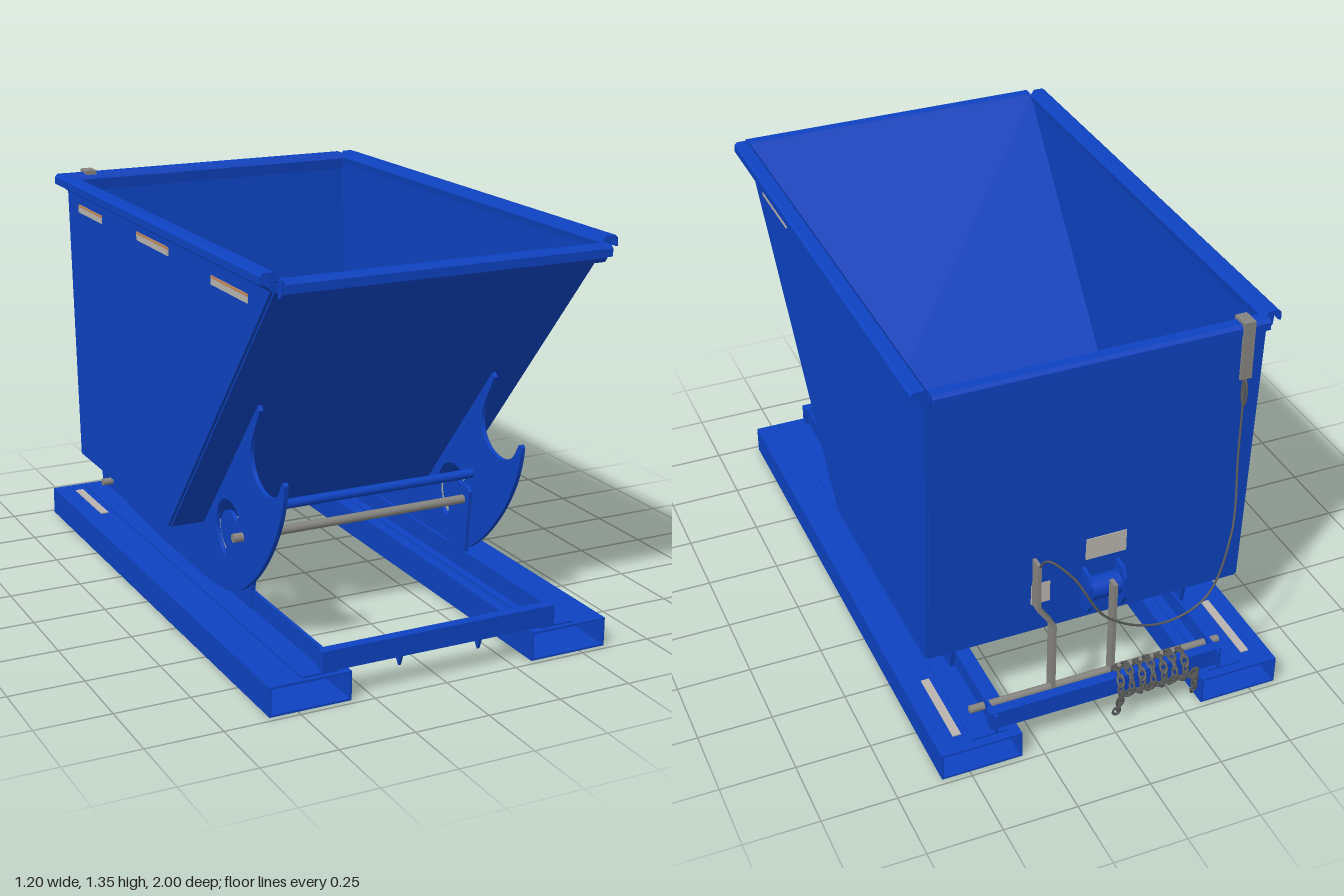
import * as THREE from 'three';

const mat = (name, color, double) => {
  const m = new THREE.MeshStandardMaterial({ color });
  m.name = name;
  if (double) m.side = THREE.DoubleSide;
  return m;
};

export function createModel() {
  const model = new THREE.Group();
  model.name = 'tippingHopper';
  const blue = mat('blue paint', 0x0d42c0, true);
  const steel = mat('grey steel', 0x85847f);
  const dark = mat('dark chain steel', 0x595a5a);
  const label = mat('pale label', 0xb9b4ae);
  const tan = mat('tan label edge', 0xc08a5c);

  const add = (name, geo, material, parent = model) => {
    const m = new THREE.Mesh(geo, material);
    m.name = name;
    parent.add(m);
    return m;
  };
  // box given by its limits on each axis
  const box = (name, x0, x1, y0, y1, z0, z1, material) => {
    const m = add(name, new THREE.BoxGeometry(x1 - x0, y1 - y0, z1 - z0), material);
    m.position.set((x0 + x1) / 2, (y0 + y1) / 2, (z0 + z1) / 2);
    return m;
  };
  // rod lying along x
  const rod = (name, x0, x1, y, z, r, material) => {
    const m = add(name, new THREE.CylinderGeometry(r, r, x1 - x0, 16), material);
    m.rotation.z = Math.PI / 2;
    m.position.set((x0 + x1) / 2, y, z);
    return m;
  };
  const shapeOf = (pts) => new THREE.Shape(pts.map((p) => new THREE.Vector2(...p)));
  const extrude = (shape, depth) => {
    const g = new THREE.ExtrudeGeometry(shape, { depth, bevelEnabled: false, curveSegments: 16 });
    return g.translate(0, 0, -depth / 2);
  };
  // plate drawn in (z, y), thick along x
  const sidePlate = (name, shape, depth, x, material = blue) => {
    const m = add(name, extrude(shape, depth).rotateY(-Math.PI / 2), material);
    m.position.x = x;
    return m;
  };
  // full-width sheet between two (z, y) points
  const sheet = (name, [z0, y0], [z1, y1], w, t) => {
    const m = add(name, new THREE.BoxGeometry(w, t, Math.hypot(z1 - z0, y1 - y0)), blue);
    m.position.set(0, (y0 + y1) / 2, (z0 + z1) / 2);
    m.rotation.x = -Math.atan2(y1 - y0, z1 - z0);
  };

  // hopper bin
  const bin = [[0.95, 1.32], [0.1, 0.305], [-0.75, 0.305], [-0.8, 1.32]];
  for (const s of [-1, 1]) sidePlate('binSide', shapeOf(bin), 0.012, s * 0.549);
  sheet('binSlope', bin[0], bin[1], 1.09, 0.012);
  sheet('binFloor', bin[1], bin[2], 1.09, 0.012);
  sheet('binBack', bin[2], bin[3], 1.09, 0.012);

  // rolled rim on all four edges
  const lip = [[0.54, 1.325], [0.555, 1.345], [0.59, 1.345], [0.6, 1.335], [0.6, 1.31], [0.592, 1.31],
    [0.592, 1.333], [0.585, 1.337], [0.575, 1.333], [0.572, 1.3], [0.56, 1.285], [0.545, 1.285]];
  for (const s of [-1, 1]) {
    const m = add('sideRim', extrude(shapeOf(lip.map(([x, y]) => [s * x, y])), 1.75), blue);
    m.position.z = 0.07;
  }
  sidePlate('frontRim', shapeOf(lip.map(([x, y]) => [x + 0.4, y - 0.017])), 1.09, 0);
  sidePlate('backRim', shapeOf(lip.map(([x, y]) => [-(x + 0.24), y - 0.005])), 1.09, 0);

  // rocker plates with a hooked nose and a curved slot
  const rocker = new THREE.Shape();
  rocker.moveTo(-0.67, 0.305);
  rocker.lineTo(-0.63, 0.13);
  rocker.lineTo(-0.2, 0.107);
  rocker.lineTo(0.15, 0.107);
  rocker.splineThru([[0.3, 0.125], [0.41, 0.17], [0.52, 0.25], [0.62, 0.36], [0.69, 0.47], [0.725, 0.56], [0.737, 0.625]]
    .map((p) => new THREE.Vector2(...p)));
  rocker.splineThru([[0.72, 0.63], [0.68, 0.575], [0.61, 0.552], [0.535, 0.572], [0.49, 0.63], [0.498, 0.7], [0.56, 0.815]]
    .map((p) => new THREE.Vector2(...p)));
  rocker.lineTo(0.545, 0.83);
  rocker.lineTo(0.1, 0.305);
  const slot = new THREE.Path();
  const cz = 0.315, cy = 0.34;
  slot.absarc(cz, cy, 0.105, 0.75, 4.35, false);
  slot.absarc(cz, cy, 0.068, 4.35, 0.75, true);
  rocker.holes.push(slot);

  for (const s of [-1, 1]) {
    sidePlate('rocker', rocker, 0.014, s * 0.42);
    // axle bracket on the base
    sidePlate('axleBracket', shapeOf([[0.31, 0.1], [0.43, 0.1], [0.46, 0.39], [0.44, 0.405], [0.4, 0.405], [0.385, 0.39]]), 0.014, s * 0.397);

    // hollow fork pocket
    const pocket = shapeOf([[-0.137, 0.003], [0.137, 0.003], [0.137, 0.1], [-0.137, 0.1]]);
    pocket.holes.push(new THREE.Path([[-0.13, 0.01], [-0.13, 0.093], [0.13, 0.093], [0.13, 0.01]]
      .map((p) => new THREE.Vector2(...p))));
    add('forkPocket', extrude(pocket, 1.96), blue).position.x = s * 0.457;

    // angle rail under the rocker
    const rx = s * 0.395;
    box('railWeb', rx - 0.005, rx + 0.005, 0.1, 0.17, -0.95, 0.965, blue);
    const fx = s * 0.42;
    box('railFoot', fx - 0.06, fx + 0.06, 0.099, 0.106, -0.95, 0.965, blue);

    // labels on the pocket top and bin side
    const lx = s * 0.515;
    box('pocketLabel', lx - 0.014, lx + 0.014, 0.099, 0.104, -0.91, -0.63, label);
    const bx = s * 0.556;
    const spots = [[0.5, 0.765, 1.215], [-0.115, 0.155, 1.233]];
    if (s < 0) spots.push([-0.68, -0.45, 1.225]);
    for (const [z0, z1, y] of spots) {
      box('sideLabel', bx - 0.003, bx + 0.003, y, y + 0.02, z0, z1, label);
      box('sideLabelEdge', bx - 0.003, bx + 0.003, y + 0.02, y + 0.028, z0, z1, tan);
    }
    // tab below the front crossbar
    sidePlate('crossbarTab', shapeOf([[0.92, 0.11], [0.95, 0.07], [0.965, 0.11]]), 0.01, s * 0.14);
  }

  // axle, tie bar and base crossbars
  rod('axle', -0.46, 0.45, 0.355, 0.42, 0.015, steel);
  rod('tieBar', -0.41, 0.41, 0.45, 0.44, 0.016, blue);
  box('frontCrossbar', -0.41, 0.41, 0.105, 0.172, 0.93, 0.965, blue);
  box('backCrossbar', -0.41, 0.41, 0.105, 0.172, -0.935, -0.9, blue);
  rod('latchShaft', -0.44, 0.45, 0.14, -0.855, 0.013, steel);

  // latch levers
  const lever = add('tallLever', extrude(shapeOf([[0.159, 0.12], [0.171, 0.12], [0.171, 0.4], [0.226, 0.48],
    [0.226, 0.66], [0.214, 0.66], [0.214, 0.485], [0.159, 0.405]]), 0.044), steel);
  lever.position.z = -0.852;
  box('shortLever', -0.053, -0.039, 0.12, 0.5, -0.87, -0.835, steel);

  // latch housing on the bin back
  const cheek = shapeOf([[-0.74, 0.36], [-0.81, 0.365], [-0.83, 0.4], [-0.83, 0.48], [-0.81, 0.515], [-0.74, 0.52]]);
  for (const x of [-0.1, 0.02]) sidePlate('latchCheek', cheek, 0.012, x);
  rod('latchBarrel', -0.1, 0.02, 0.44, -0.785, 0.04, blue);
  box('backLabelSmall', 0.135, 0.2, 0.42, 0.5, -0.767, -0.761, label);
  box('backLabelLarge', -0.125, 0.015, 0.55, 0.63, -0.775, -0.769, label);

  // cable with its strap and clip
  const curve = (pts) => new THREE.CatmullRomCurve3(pts.map((p) => new THREE.Vector3(...p)));
  box('cableStrap', -0.49, -0.45, 1.15, 1.335, -0.845, -0.837, steel);
  box('strapTop', -0.49, -0.45, 1.335, 1.35, -0.845, -0.785, steel);
  const clip = add('cableClip', new THREE.TorusGeometry(0.014, 0.004, 6, 16).scale(1, 3, 1).rotateY(Math.PI / 2), dark);
  clip.position.set(-0.47, 1.1, -0.842);
  add('cable', new THREE.TubeGeometry(curve([[-0.47, 1.13, -0.84], [-0.45, 0.9, -0.87], [-0.4, 0.65, -0.95],
    [-0.3, 0.46, -0.99], [-0.15, 0.4, -0.985], [0.05, 0.5, -0.995], [0.15, 0.66, -0.965],
    [0.21, 0.71, -0.92], [0.22, 0.64, -0.86]]), 80, 0.004, 6), dark);

  // chain wound round the back crossbar, ends hanging
  const path = [[-0.305, 0.045, -0.95], [-0.3, 0.1, -0.965]];
  for (let i = 0; i <= 56; i++) {
    const a = Math.PI + (i / 8) * Math.PI * 2;
    path.push([-0.3 + (i / 56) * 0.27, 0.14 + 0.045 * Math.sin(a), -0.918 + 0.048 * Math.cos(a)]);
  }
  path.push([-0.03, 0.1, -0.965], [-0.025, 0.045, -0.95]);
  const chain = new THREE.Group();
  chain.name = 'chain';
  model.add(chain);
  const chainCurve = curve(path);
  const link = new THREE.TorusGeometry(0.011, 0.004, 6, 12).scale(1.7, 1, 1);
  const count = 84, xAxis = new THREE.Vector3(1, 0, 0);
  for (let i = 0; i <= count; i++) {
    const m = add('chainLink', link, dark, chain);
    m.position.copy(chainCurve.getPointAt(i / count));
    m.quaternion.setFromUnitVectors(xAxis, chainCurve.getTangentAt(i / count));
    m.rotateX((i % 2) * Math.PI / 2);
  }
  return model;
}
